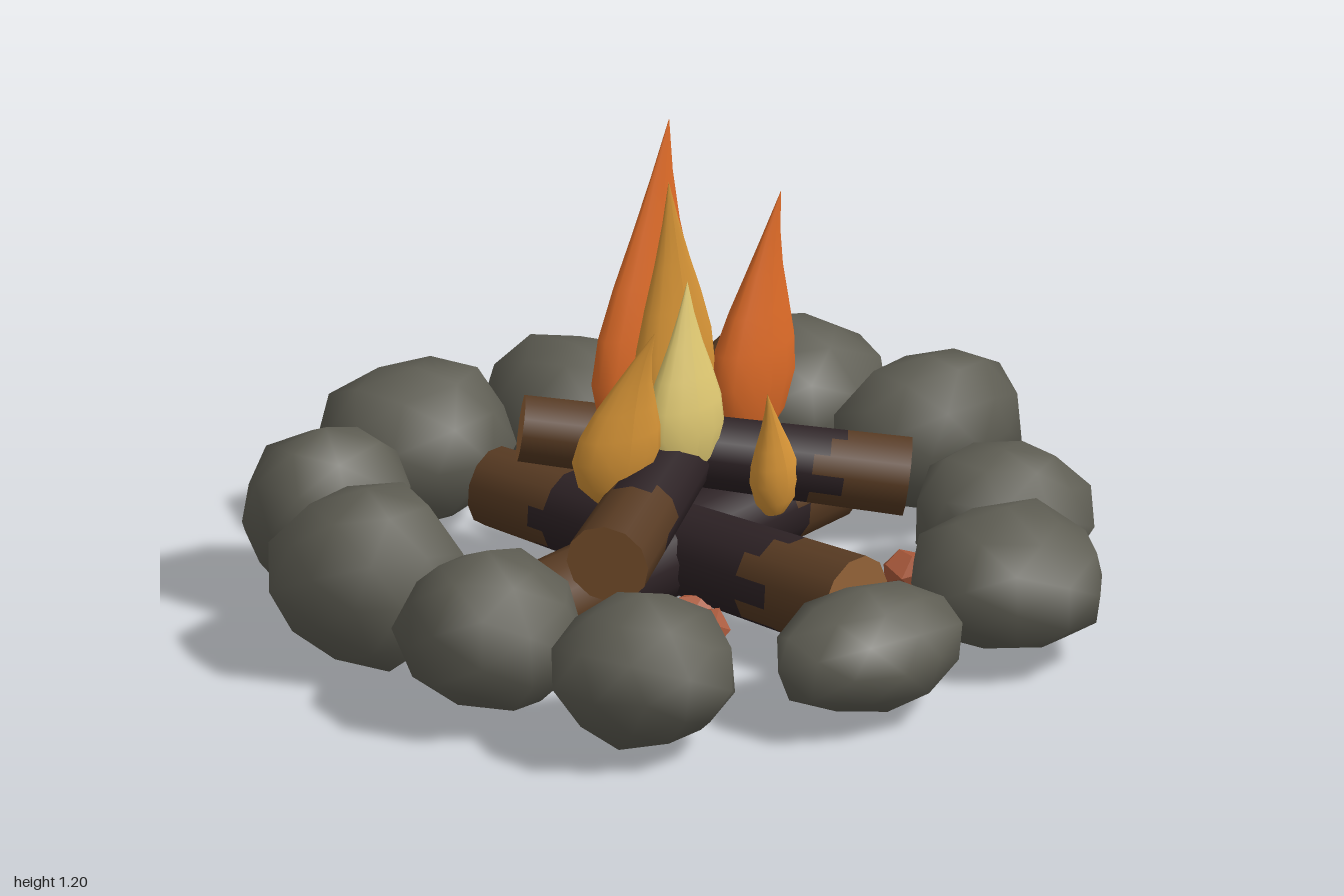
import * as THREE from 'three';
import { mergeVertices } from 'three/addons/utils/BufferGeometryUtils.js';

const mat = (name, color, extra = {}) => {
  const m = new THREE.MeshStandardMaterial({ color, ...extra });
  m.name = name;
  return m;
};

// Small seeded random source
function seeded(seed) {
  let s = seed * 7919 + 17;
  return () => {
    s = (s * 16807) % 2147483647;
    return s / 2147483647;
  };
}

// Irregular lump filling a box of the given size
function lump(detail, seed, size, rough) {
  const rnd = seeded(seed);
  rnd();
  let g = new THREE.IcosahedronGeometry(1, detail);
  g.deleteAttribute('normal');
  g.deleteAttribute('uv');
  g = mergeVertices(g, 1e-3);
  const p = g.attributes.position;
  const v = new THREE.Vector3();
  for (let i = 0; i < p.count; i++) {
    v.fromBufferAttribute(p, i).multiplyScalar(1 - rough / 2 + rough * rnd());
    p.setXYZ(i, v.x, v.y, v.z);
  }
  g.rotateY(rnd() * 6.28);
  g.center();
  g.computeBoundingBox();
  const b = g.boundingBox.getSize(new THREE.Vector3());
  g.scale(size[0] / b.x, size[1] / b.y, size[2] / b.z);
  g.computeVertexNormals();
  return g;
}

// Tapered log with bark at the ends, a charred middle and cut faces
function log(from, to, r0, r1, seed, materials) {
  const a = new THREE.Vector3(...from), b = new THREE.Vector3(...to);
  const sides = 12, rows = 24;
  const g = new THREE.CylinderGeometry(r1, r0, a.distanceTo(b), sides, rows);
  const rnd = seeded(seed);
  g.clearGroups();
  for (let i = 0; i < sides; i++) {
    const start = 4 + Math.floor(rnd() * 3);
    const end = rows - 4 - Math.floor(rnd() * 3);
    const at = i * rows * 6;
    g.addGroup(at, start * 6, 0);
    g.addGroup(at + start * 6, (end - start) * 6, 1);
    g.addGroup(at + end * 6, (rows - end) * 6, 0);
  }
  g.addGroup(sides * rows * 6, sides * 6, 2);
  const mesh = new THREE.Mesh(g, materials);
  mesh.position.copy(a).add(b).multiplyScalar(0.5);
  mesh.quaternion.setFromUnitVectors(new THREE.Vector3(0, 1, 0), b.clone().sub(a).normalize());
  return mesh;
}

// Flattened teardrop whose tip bends sideways
const flameProfile = [[0, 0], [0.4, 0.02], [0.8, 0.12], [1, 0.27], [0.92, 0.4],
  [0.7, 0.54], [0.43, 0.69], [0.2, 0.84], [0, 1]].map(([r, t]) => new THREE.Vector2(r, t));

function flame({ base, tip, rx, rz, yaw }) {
  const g = new THREE.LatheGeometry(flameProfile, 14);
  g.scale(rx, 1, rz);
  g.rotateY(yaw);
  const p = g.attributes.position;
  for (let i = 0; i < p.count; i++) {
    const t = p.getY(i), bend = t * t;
    p.setXYZ(i,
      p.getX(i) + base[0] + (tip[0] - base[0]) * bend,
      base[1] + (tip[1] - base[1]) * t,
      p.getZ(i) + base[2] + (tip[2] - base[2]) * bend);
  }
  g.computeVertexNormals();
  return g;
}

export function createModel() {
  const stone = mat('stone grey', 0x5f5e54);
  const bark = mat('bark brown', 0x573a22);
  const char = mat('charred wood', 0x2c2124);
  const cut = mat('cut wood', 0x946338);
  const orange = mat('flame orange', 0xe06c28, { side: THREE.DoubleSide });
  const amber = mat('flame amber', 0xdc9838, { side: THREE.DoubleSide });
  const pale = mat('flame pale yellow', 0xe0c972, { side: THREE.DoubleSide });
  const coalMat = mat('coal', 0x2b2022, { flatShading: true });
  const emberMat = mat('ember red', 0xa8583a, { flatShading: true });

  const model = new THREE.Group();
  model.name = 'campfire';
  const section = (name) => {
    const g = new THREE.Group();
    g.name = name;
    model.add(g);
    return g;
  };

  // Ring of stones: x min, x max, y min, y max, z min, z max
  const ring = section('stoneRing');
  [
    [-0.42, 0.07, 0.02, 0.40, -0.96, -0.54],
    [0.05, 0.45, 0.01, 0.36, -0.93, -0.48],
    [0.45, 0.89, 0.01, 0.40, -0.66, -0.19],
    [0.51, 1.00, 0.03, 0.42, -0.18, 0.17],
    [0.41, 0.86, 0.01, 0.36, 0.20, 0.61],
    [0.15, 0.62, 0.02, 0.375, 0.47, 0.94],
    [-0.33, 0.175, 0.025, 0.32, 0.60, 0.95],
    [-0.835, -0.38, 0.01, 0.39, 0.35, 0.80],
    [-0.965, -0.53, 0.02, 0.41, -0.03, 0.41],
    [-1.00, -0.53, 0.01, 0.43, -0.47, -0.02],
    [-0.795, -0.395, 0, 0.425, -0.76, -0.40],
  ].forEach(([x0, x1, y0, y1, z0, z1], i) => {
    const m = new THREE.Mesh(lump(1, i + 3, [x1 - x0, y1 - y0, z1 - z0], 0.16), stone);
    m.position.set((x0 + x1) / 2, (y0 + y1) / 2, (z0 + z1) / 2);
    m.name = 'ringStone' + (i + 1);
    ring.add(m);
  });

  // Two crossed pairs of logs
  const logs = section('logs');
  [
    ['lowerCrossLog', [-0.56, 0.16, 0.10], [0.51, 0.16, -0.09], 0.11, 0.105],
    ['lowerLongLog', [0.07, 0.16, 0.54], [-0.14, 0.17, -0.52], 0.12, 0.095],
    ['upperCrossLog', [-0.47, 0.33, 0.29], [0.37, 0.44, -0.24], 0.10, 0.075],
    ['upperShortLog', [0.41, 0.32, 0.32], [-0.29, 0.45, -0.24], 0.095, 0.08],
  ].forEach(([name, a, b, r0, r1], i) => {
    const m = log(a, b, r0, r1, i + 5, [bark, char, cut]);
    m.name = name;
    logs.add(m);
  });

  // Flames
  const flames = section('flames');
  [
    ['tallFlame', orange, { base: [-0.05, 0.36, -0.08], tip: [0.025, 1.2, -0.08], rx: 0.165, rz: 0.06, yaw: 0.05 }],
    ['backFlame', amber, { base: [0, 0.36, -0.03], tip: [-0.11, 1.13, 0.08], rx: 0.14, rz: 0.055, yaw: 0.2 }],
    ['sideFlame', orange, { base: [0.21, 0.35, -0.01], tip: [0.28, 0.98, 0.02], rx: 0.13, rz: 0.065, yaw: 0.1 }],
    ['outerFlame', amber, { base: [-0.27, 0.36, 0.07], tip: [-0.225, 0.81, 0.17], rx: 0.115, rz: 0.06, yaw: -0.15 }],
    ['coreFlame', pale, { base: [-0.05, 0.35, 0.06], tip: [-0.02, 0.84, 0.04], rx: 0.115, rz: 0.06, yaw: 0 }],
    ['smallFlame', amber, { base: [0.12, 0.26, 0.19], tip: [0.055, 0.6, 0.24], rx: 0.07, rz: 0.045, yaw: 0.1 }],
  ].forEach(([name, material, spec]) => {
    const m = new THREE.Mesh(flame(spec), material);
    m.name = name;
    flames.add(m);
  });

  // Loose coals and embers on the ground: x, z, size
  const scatter = (name, material, spots, seed) => {
    const group = section(name);
    spots.forEach(([x, z, s], i) => {
      const m = new THREE.Mesh(lump(0, seed + i, [s, s * 0.75, s * 0.9], 0.3), material);
      m.position.set(x, 0.03 + s * 0.4, z);
      m.name = name + (i + 1);
      group.add(m);
    });
  };
  scatter('coal', coalMat, [[-0.51, -0.12, 0.12], [-0.45, -0.17, 0.12], [-0.38, -0.18, 0.12],
    [0.05, -0.31, 0.09], [0.13, -0.32, 0.1], [-0.07, 0.51, 0.08], [-0.16, -0.1, 0.11],
    [0.12, 0.1, 0.1], [-0.05, 0.12, 0.1], [0.2, -0.16, 0.1], [-0.22, 0.12, 0.1]], 40);
  scatter('ember', emberMat, [[-0.14, 0.26, 0.11], [0.43, 0.29, 0.11], [-0.05, -0.2, 0.1],
    [-0.15, -0.02, 0.11], [0.02, 0.02, 0.1], [0.16, 0.02, 0.09], [-0.27, 0.02, 0.1],
    [0.04, -0.15, 0.1], [0.1, 0.22, 0.09], [-0.11, 0.16, 0.1]], 70);

  return model;
}
